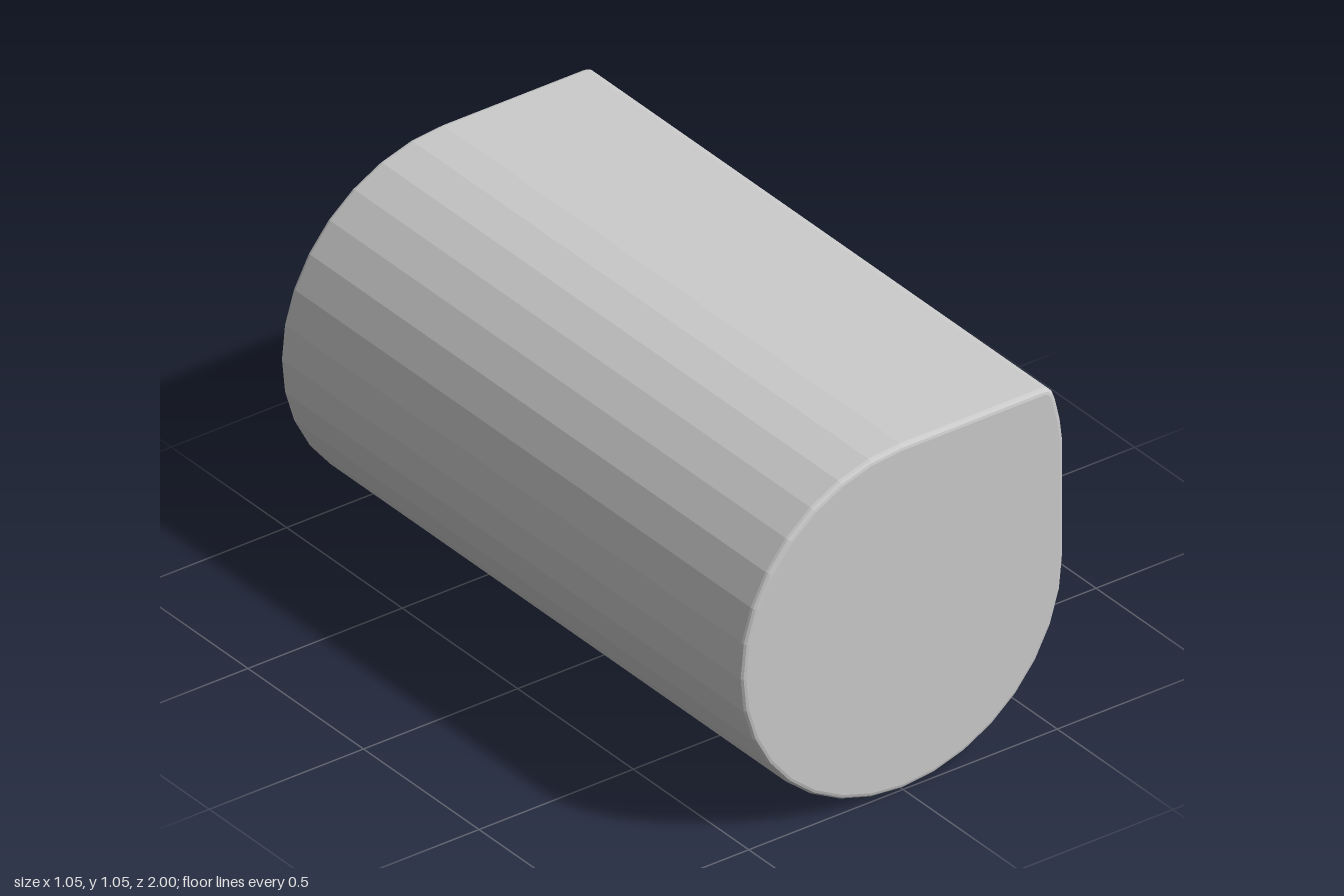
import * as THREE from 'three';
import { toCreasedNormals } from 'three/addons/utils/BufferGeometryUtils.js';

const R = 0.523, BEVEL = 0.015, HALF = 1 - BEVEL, PANEL_TOP = 0.87;
const LIP = 0.02, SLOT_R = 0.095, SLOT_Y = 0.735;
const V = (x, y) => new THREE.Vector2(x, y);

// Rounded rim: outward offset of the outline against depth below the face
const RIM = [[LIP, 0], [0.01, 0.003], [0.003, 0.01], [0, LIP]];

function arc(cx, cy, r, a, b, n, sx = 1) {
  return Array.from({ length: n + 1 }, (_, i) => {
    const t = a + (b - a) * i / n;
    return V(cx + sx * r * Math.cos(t), cy + r * Math.sin(t));
  });
}

// Slot outline from the top of the channel mouth round to its bottom
function slotOutline(near, far, o, sx) {
  const r = SLOT_R + o, H = Math.PI / 2;
  const a = Math.asin((0.715 + o - SLOT_Y) / r), b = Math.asin((0.67 - o - SLOT_Y) / r);
  return [
    ...arc(near, SLOT_Y, r, a, H, 8, sx),
    ...arc(far, SLOT_Y, r, H, 3 * H, 16, sx),
    ...arc(near, SLOT_Y, r, 3 * H, 4 * H + b, 5, sx),
  ];
}

// Both slots joined by the narrow channel
function recessOutline(o) {
  const a = slotOutline(-0.221, -0.432, o, 1);
  const b = slotOutline(0.21, 0.458, o, -1).reverse();
  const f = 0.015, top = 0.70 + o, low = 0.685 - o;
  const aEnd = a[a.length - 1], bEnd = b[b.length - 1];
  const lower = [V(aEnd.x + f, low), V(b[0].x - f, low)];
  const upper = [V(bEnd.x - f, top), V(a[0].x + f, top)];
  return { a, b, loop: [...a, ...lower, ...b, ...upper], channel: [aEnd, ...lower, b[0], bEnd, ...upper, a[0]] };
}

// Inward-facing wall through a stack of [outline, height] rings
function wallGeometry(rings) {
  const p = [];
  for (let k = 0; k + 1 < rings.length; k++) {
    const [top, zt] = rings[k], [bot, zb] = rings[k + 1], n = top.length;
    for (let i = 0; i < n; i++) {
      const j = (i + 1) % n;
      const ti = [top[i].x, top[i].y, zt], tj = [top[j].x, top[j].y, zt];
      const bi = [bot[i].x, bot[i].y, zb], bj = [bot[j].x, bot[j].y, zb];
      p.push(...ti, ...tj, ...bj, ...ti, ...bj, ...bi);
    }
  }
  const g = new THREE.BufferGeometry();
  g.setAttribute('position', new THREE.Float32BufferAttribute(p, 3));
  return toCreasedNormals(g, 0.7);
}

function bodyGeometry() {
  const profile = [
    ...arc(0, R, R, Math.PI / 2, 2 * Math.PI, 24),
    V(R, PANEL_TOP), V(0.515, 0.935), V(0.5, 1.0), V(0.49, 1.028), V(0.477, 1.041), V(0.46, 2 * R),
  ];
  const g = new THREE.ExtrudeGeometry(new THREE.Shape(profile), {
    depth: 2 * HALF, bevelSize: BEVEL, bevelOffset: -BEVEL, bevelThickness: BEVEL, bevelSegments: 3,
  });
  g.translate(0, 0, -HALF);
  // Leave out the flat side, which the pierced panel replaces
  const src = g.getAttribute('position').array, kept = [];
  for (let i = 0; i < src.length; i += 9) {
    if (Math.min(src[i], src[i + 3], src[i + 6]) < R - 0.0005) kept.push(...src.slice(i, i + 9));
  }
  const out = new THREE.BufferGeometry();
  out.setAttribute('position', new THREE.Float32BufferAttribute(kept, 3));
  out.computeVertexNormals();
  return out;
}

export function createModel() {
  const model = new THREE.Group();
  const material = new THREE.MeshStandardMaterial({ color: 0xcccccc });
  const add = (parent, name, geometry) => {
    const mesh = new THREE.Mesh(geometry, material);
    mesh.name = name;
    parent.add(mesh);
  };
  const flat = (points, z) => new THREE.ShapeGeometry(new THREE.Shape(points)).translate(0, 0, z);

  add(model, 'body', bodyGeometry());

  // Side parts are drawn flat, then turned to face +x
  const side = new THREE.Group();
  side.name = 'socketSide';
  side.rotation.y = Math.PI / 2;
  model.add(side);

  const panel = new THREE.Shape([V(-HALF, R), V(HALF, R), V(HALF, PANEL_TOP), V(-HALF, PANEL_TOP)]);
  const rimRings = outline => RIM.map(([o, d]) => [outline(o), R - d]);

  // Twin slots and connecting channel
  const recess = recessOutline(0);
  panel.holes.push(new THREE.Path(recessOutline(LIP).loop));
  add(side, 'slotRim', wallGeometry(rimRings(o => recessOutline(o).loop)));
  add(side, 'channelFloor', flat(recess.channel, R - LIP));
  for (const outline of [recess.a, recess.b]) {
    add(side, 'slotWall', wallGeometry([[outline, R - LIP], [outline, R - 0.17]]));
    add(side, 'slotFloor', flat(outline, R - 0.17));
  }

  // Countersunk screw holes
  for (const u of [-0.69, 0.71]) {
    const circle = o => arc(u, 0.74, 0.035 + o, 0, 2 * Math.PI, 20).slice(0, -1);
    panel.holes.push(new THREE.Path(circle(LIP)));
    add(side, 'screwHoleWall', wallGeometry([...rimRings(circle), [circle(0), R - 0.09]]));
    add(side, 'screwHoleFloor', flat(circle(0), R - 0.09));
  }

  add(side, 'sidePanel', new THREE.ShapeGeometry(panel).translate(0, 0, R));
  return model;
}
